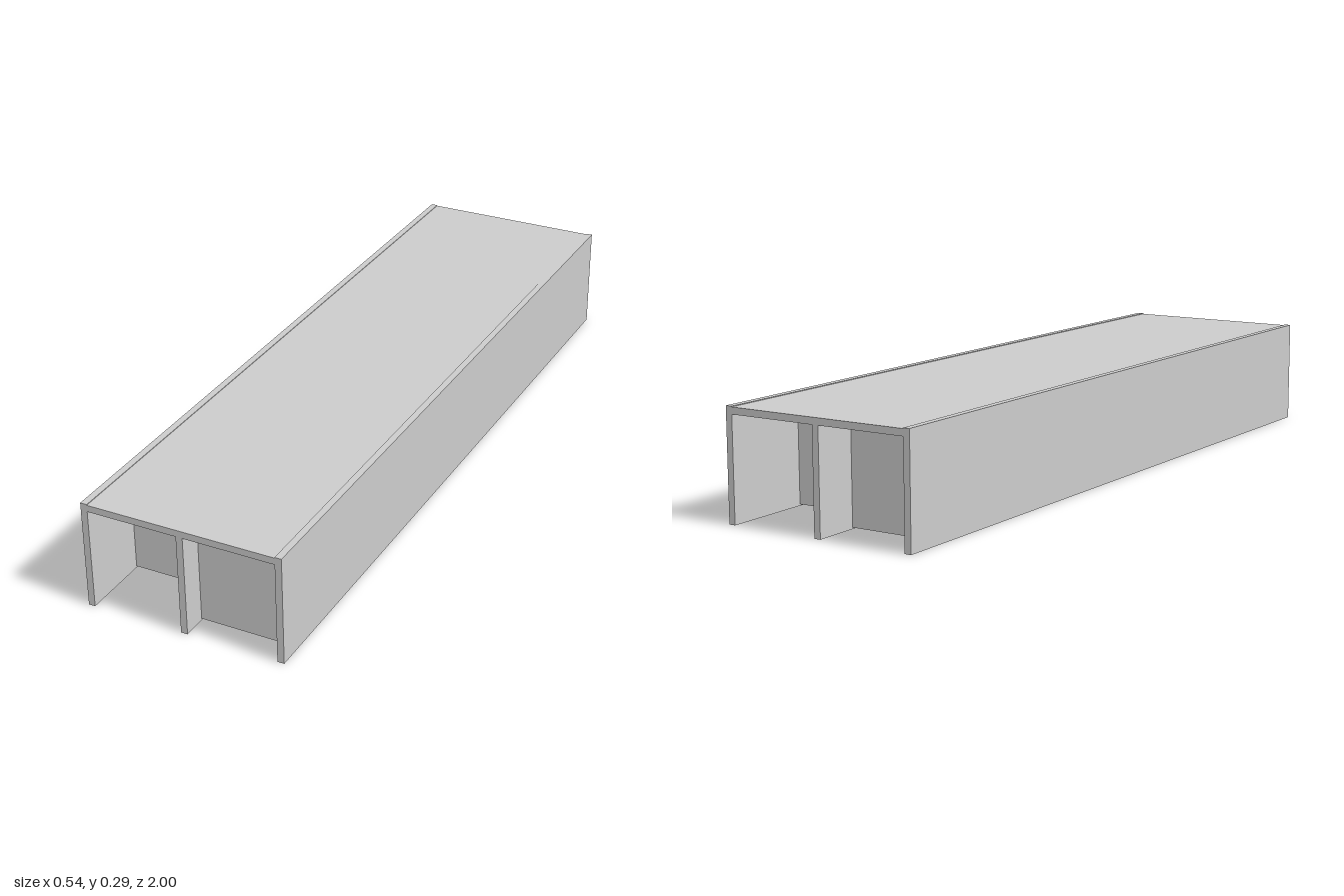
import * as THREE from 'three';

const T = 0.018;      // board thickness
const HALF_W = 0.271; // half of the overall width
const H = 0.292;      // overall height
const TOP = 0.29;     // upper face of the top panel, just below the side rims
const LENGTH = 2;

export function createModel() {
  const model = new THREE.Group();
  model.name = 'compartmentBeam';
  const material = new THREE.MeshStandardMaterial({ color: 0xcccccc, flatShading: true });

  // Box between two x and two y limits, centred on z
  function board(name, x0, x1, y0, y1, depth, z = 0) {
    const mesh = new THREE.Mesh(new THREE.BoxGeometry(x1 - x0, y1 - y0, depth), material);
    mesh.position.set((x0 + x1) / 2, (y0 + y1) / 2, z);
    mesh.name = name;
    model.add(mesh);
  }

  const inner = HALF_W - T;
  const under = TOP - T;

  // Long boards: two sides, top panel and middle web
  board('leftSide', inner, HALF_W, 0, H, LENGTH);
  board('rightSide', -HALF_W, -inner, 0, H, LENGTH);
  board('topPanel', -inner, inner, under, TOP, LENGTH);
  board('middleWeb', -T / 2, T / 2, 0, under, LENGTH);

  // Staggered cross dividers, spaced in whole steps along each bay
  const STEP = 0.088;
  const bays = [
    { name: 'leftDivider', x0: T / 2, x1: inner, start: 0.925, steps: [0, 4, 8, 11, 16, 19] },
    { name: 'rightDivider', x0: -inner, x1: -T / 2, start: 0.803, steps: [0, 3, 8, 11, 15, 19] },
  ];
  for (const { name, x0, x1, start, steps } of bays) {
    steps.forEach((s, i) => board(name + (i + 1), x0, x1, 0.004, under, T, start - s * STEP));
  }
  return model;
}
